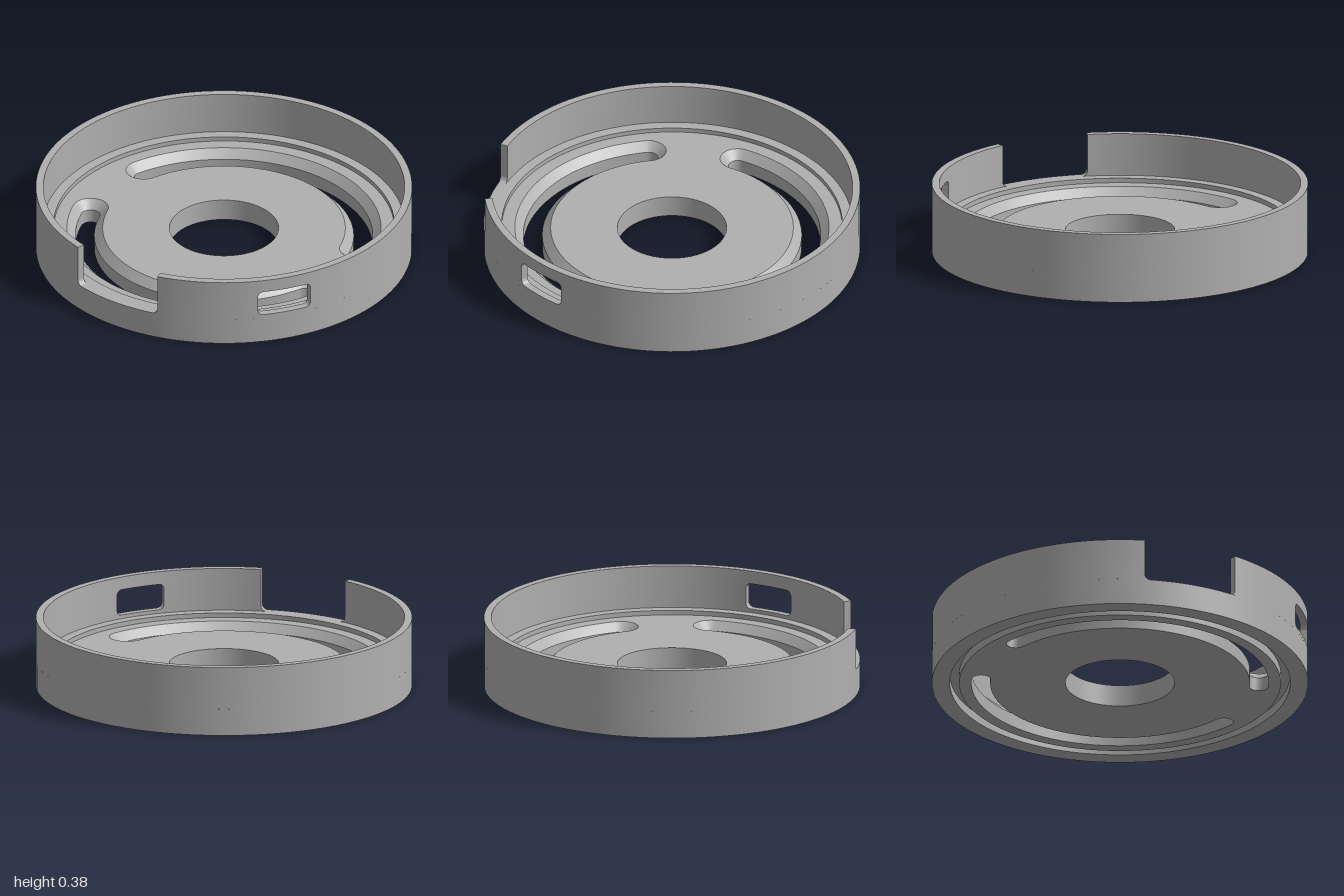
import * as THREE from 'three';
import { toCreasedNormals } from 'three/addons/utils/BufferGeometryUtils.js';

const SEG = 128;
const FLOOR = 0.12, CHAMFER_Y = 0.075, LEDGE = 0.145, TOP = 0.375;
const R_IN = 0.96, R_STEP = 0.905, R_DISC = 0.855, R_BORE = 0.29;
const CORNER = 0.03;
const rad = THREE.MathUtils.degToRad;

// Surface through rows of points; optional flat caps on the first and last row
function loft(rows, capStart = false, capEnd = false) {
  const pos = [];
  const quad = (a, b, c, d) => pos.push(...a, ...b, ...c, ...a, ...c, ...d);
  for (let i = 0; i < rows.length - 1; i++) {
    const p = rows[i], q = rows[i + 1];
    for (let j = 0; j < p.length - 1; j++) quad(p[j], q[j], q[j + 1], p[j + 1]);
  }
  if (capStart) { const [a, b, c, d] = rows[0]; quad(a, b, c, d); }
  if (capEnd) { const [a, b, c, d] = rows[rows.length - 1]; quad(d, c, b, a); }
  const g = new THREE.BufferGeometry();
  g.setAttribute('position', new THREE.Float32BufferAttribute(pos, 3));
  return toCreasedNormals(g, 0.5);
}

// Counter-clockwise outlines in plan
function circle(r) {
  return Array.from({ length: SEG }, (_, i) => {
    const a = (i / SEG) * Math.PI * 2;
    return new THREE.Vector2(r * Math.cos(a), r * Math.sin(a));
  });
}

function slot(halfWidth, sign) {
  const a0 = rad(19), a1 = rad(161), r = 0.74, pts = [];
  const arc = (cx, cy, radius, from, to, n) => {
    for (let i = 0; i < n; i++) {
      const a = from + ((to - from) * i) / n;
      pts.push(new THREE.Vector2(cx + radius * Math.cos(a), cy + radius * Math.sin(a)).multiplyScalar(sign));
    }
  };
  arc(0, 0, r + halfWidth, a0, a1, 56);
  arc(r * Math.cos(a1), r * Math.sin(a1), halfWidth, a1, a1 + Math.PI, 16);
  arc(0, 0, r - halfWidth, a1, a0, 56);
  arc(r * Math.cos(a0), r * Math.sin(a0), halfWidth, a0 + Math.PI, a0 + 2 * Math.PI, 16);
  return pts;
}

// Wall of an opening: outlines stacked from top to bottom as [points, y]
function openingWall(levels) {
  const n = levels[0][0].length, rows = [];
  for (let i = 0; i <= n; i++) rows.push(levels.map(([pts, y]) => [pts[i % n].x, y, -pts[i % n].y]));
  return loft(rows);
}

function plate(radius, holes, y, up) {
  const shape = new THREE.Shape(circle(radius));
  shape.holes = holes.map((h) => new THREE.Path(h));
  return new THREE.ShapeGeometry(shape).rotateX(up ? -Math.PI / 2 : Math.PI / 2).translate(0, y, 0);
}

// Curved piece of the rim between two angles, with lower and upper edge rules
function rimPiece(a0, a1, lo, hi, n, { ease = false, caps = [false, false] } = {}) {
  const rows = [];
  for (let i = 0; i <= n; i++) {
    const t = ease ? (1 - Math.cos((Math.PI * i) / n)) / 2 : i / n;
    const a = a0 + (a1 - a0) * t, s = Math.sin(a), c = Math.cos(a);
    const at = (r, y) => [r * s, y, r * c];
    const l = lo(a), h = hi(a);
    rows.push([at(1, l), at(1, h), at(R_IN, h), at(R_IN, l), at(1, l)]);
  }
  return loft(rows, ...caps);
}

// Height of a rounded corner at distance d from the side of an opening
const rise = (d) => (d >= CORNER ? 0 : CORNER - Math.sqrt(Math.max(0, CORNER ** 2 - (CORNER - d) ** 2)));

export function createModel() {
  const model = new THREE.Group();
  model.name = 'slottedCap';
  const grey = new THREE.MeshStandardMaterial({ color: 0xb0b0b0, side: THREE.DoubleSide });
  grey.name = 'grey';
  const add = (name, geometry, parent = model) => {
    const mesh = new THREE.Mesh(geometry, grey);
    mesh.name = name;
    parent.add(mesh);
  };

  // Floor with bore and two countersunk arc slots
  const bore = circle(R_BORE);
  const wide = [1, -1].map((s) => slot(0.095, s));
  const narrow = [1, -1].map((s) => slot(0.05, s));
  add('floorTop', plate(R_STEP, [bore, ...wide], FLOOR, true));
  add('floorUnderside', plate(R_DISC, [bore, ...narrow], 0, false));
  add('boreWall', openingWall([[bore, FLOOR], [bore, 0]]));
  wide.forEach((w, i) =>
    add('slotWall', openingWall([[w, FLOOR], [narrow[i], CHAMFER_Y], [narrow[i], 0]])));

  // Base ring: underside groove, outer skirt and inner ledge
  const profile = [
    [R_DISC, 0], [R_DISC, 0.05], [R_STEP, 0.05], [R_STEP, 0],
    [1, 0], [1, LEDGE], [R_STEP, LEDGE], [R_STEP, FLOOR],
  ].map(([r, y]) => new THREE.Vector2(r, y));
  add('baseRing', toCreasedNormals(new THREE.LatheGeometry(profile, SEG), 0.5));

  // Rim wall, open at the front notch and pierced by one window
  const rim = new THREE.Group();
  rim.name = 'rimWall';
  model.add(rim);
  const notch = Math.asin(0.26), w0 = rad(46.2), w1 = rad(63.2);
  const winLo = 0.165, winHi = 0.305;
  const base = () => LEDGE, top = () => TOP;
  const edge = (a) => rise(Math.min(a - w0, w1 - a));
  add('rimBesideNotch', rimPiece(notch, w0, base, top, 12, { caps: [true, true] }), rim);
  add('rimAroundBack', rimPiece(w1, 2 * Math.PI - notch, base, top, 104, { caps: [true, true] }), rim);
  add('windowSill', rimPiece(w0, w1, base, (a) => winLo + edge(a), 32, { ease: true }), rim);
  add('windowHead', rimPiece(w0, w1, (a) => winHi - edge(a), top, 32, { ease: true }), rim);

  // Rounded lower corners of the notch
  add('notchCornerLeft', rimPiece(notch - CORNER, notch, base, (a) => LEDGE + rise(notch - a), 12, { ease: true }), rim);
  add('notchCornerRight', rimPiece(-notch, CORNER - notch, base, (a) => LEDGE + rise(a + notch), 12, { ease: true }), rim);

  return model;
}
